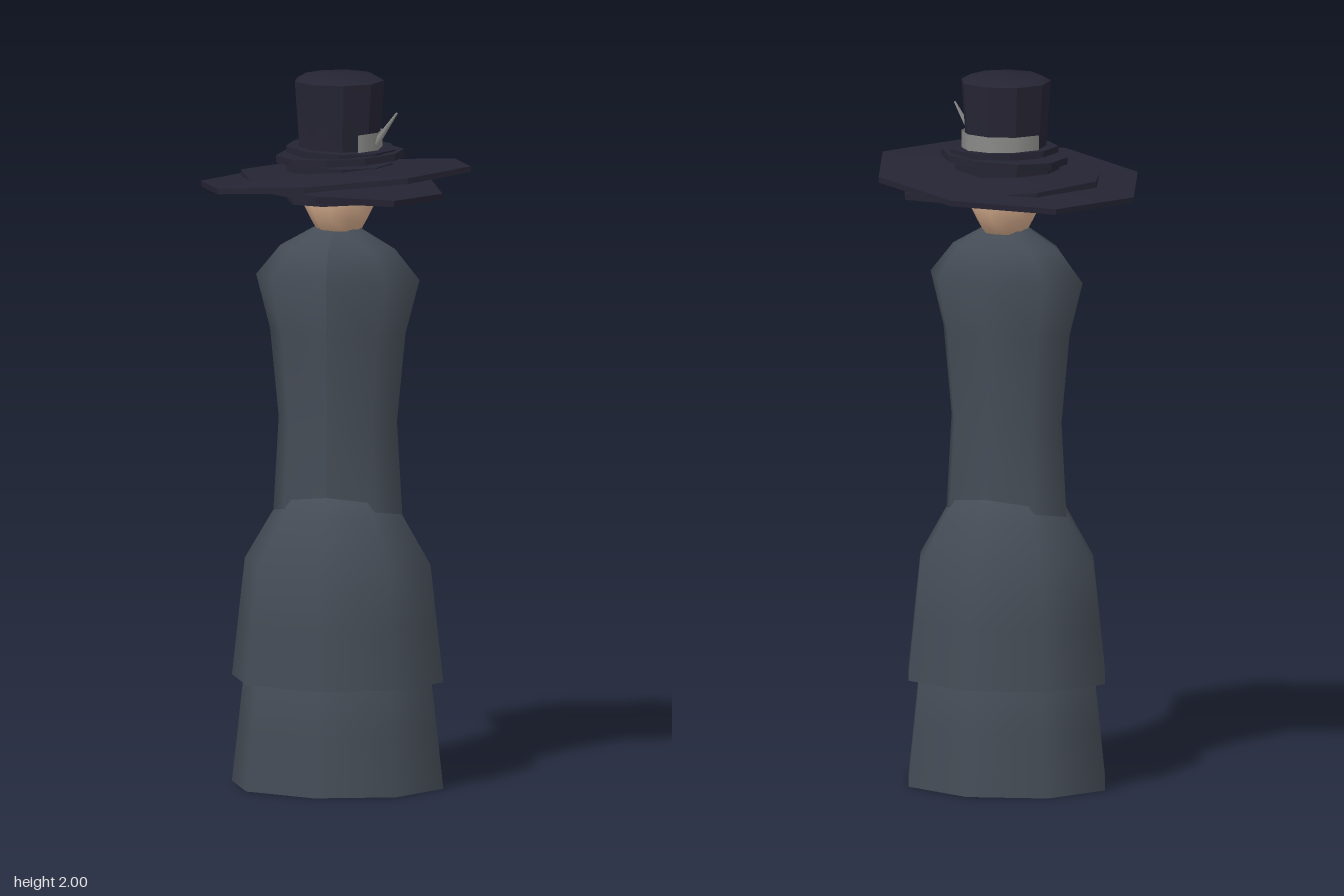
import * as THREE from 'three';
import { toCreasedNormals } from 'three/addons/utils/BufferGeometryUtils.js';

const mat = (name, color) => {
  const m = new THREE.MeshStandardMaterial({ color });
  m.name = name;
  return m;
};

// Low-sided turned shape from [radius, height] pairs, bottom to top, squashed in depth
function turned(name, profile, sides, depth, material, crease = 0) {
  let geo = new THREE.LatheGeometry(profile.map(([r, y]) => new THREE.Vector2(r, y)), sides);
  geo.scale(1, 1, depth);
  if (crease) geo = toCreasedNormals(geo, crease);
  const mesh = new THREE.Mesh(geo, material);
  mesh.name = name;
  return mesh;
}

export function createModel() {
  const cloth = mat('slate cloth', 0x454c56);
  const felt = mat('dark felt', 0x252433);
  const skin = mat('skin', 0xdab090);
  const silver = mat('grey band', 0x8a8a88);
  silver.side = THREE.DoubleSide;

  const model = new THREE.Group();
  model.name = 'figure';

  // Two identical skirt tiers; doubled points keep the hem sharp
  const tier = [[0, 0], [0.304, 0], [0.304, 0], [0.285, 0.17], [0.267, 0.33], [0.19, 0.46], [0.14, 0.535], [0, 0.55]];
  [['lowerSkirt', 0], ['upperSkirt', 0.3]].forEach(([name, y]) => {
    const skirt = turned(name, tier, 8, 0.86, cloth);
    skirt.position.set(0.006, y, 0.005);
    model.add(skirt);
  });

  // Coat body with sloping shoulders
  const torso = turned('torso', [[0, 0.76], [0.186, 0.76], [0.186, 0.76], [0.17, 1.03], [0.195, 1.28],
    [0.235, 1.43], [0.165, 1.515], [0.068, 1.57], [0, 1.572]], 8, 1, cloth);
  // Depth narrows less than width toward the top
  const p = torso.geometry.attributes.position;
  for (let i = 0; i < p.count; i++) {
    const y = p.getY(i);
    const k = y > 1.54 ? 0.8 : y > 1.5 ? 0.66 : y > 1.4 ? 0.57 : y > 1.2 ? 0.665 : 0.7;
    p.setZ(i, p.getZ(i) * k);
  }
  torso.geometry.computeVertexNormals();
  torso.position.set(0.006, 0, 0.003);
  model.add(torso);

  // Tapered head under the hat
  const head = turned('head', [[0, 1.55], [0.06, 1.56], [0.082, 1.6], [0.106, 1.65], [0.1, 1.7], [0, 1.71]], 10, 1, skin);
  head.position.set(0.008, 0, -0.004);
  model.add(head);

  // Hat: stacked tilted discs, crown, band and feather
  const hat = new THREE.Group();
  hat.name = 'hat';
  model.add(hat);
  const disc = (name, r, h, sides, depth, pos, rot, rise = 0) => {
    const d = turned(name, [[0, -h / 2], [r, -h / 2], [r, h / 2], [r * 0.4, h / 2 + rise], [0, h / 2 + rise]], sides, depth, felt, 0.5);
    d.position.set(...pos);
    d.rotation.set(...rot);
    hat.add(d);
  };
  disc('innerBrim', 0.135, 0.022, 8, 0.98, [-0.005, 1.657, 0], [0, 0, 0.03]);
  disc('lowerBrim', 0.29, 0.018, 8, 1, [0.016, 1.69, 0], [0, 0, -0.08]);
  disc('wideBrim', 0.389, 0.016, 8, 0.952, [0, 1.713, 0], [-0.04, 0, 0.09], 0.016);
  disc('lowerCrownRing', 0.15, 0.03, 9, 1, [0.01, 1.745, 0.005], [0.03, 0.3, -0.04]);
  disc('middleCrownRing', 0.18, 0.02, 10, 0.92, [0.012, 1.772, 0], [0, 0, 0.05]);
  disc('upperCrownRing', 0.155, 0.018, 9, 0.95, [0.015, 1.79, 0], [0.02, 0.2, -0.03]);

  const crown = turned('crown', [[0, 1.74], [0.113, 1.74], [0.116, 1.83], [0.127, 1.985], [0.1, 2], [0, 2]], 9, 0.95, felt, 0.6);
  crown.position.set(0.008, 0, 0);
  crown.rotation.y = 0.35;
  hat.add(crown);

  // Band wraps the left side and the back of the crown
  const band = new THREE.Mesh(
    new THREE.CylinderGeometry(0.123, 0.123, 0.052, 6, 1, true, 0.7, 3.75), silver);
  band.name = 'hatBand';
  band.position.set(0.008, 1.819, 0);
  hat.add(band);

  // Slim feather leaning outward from the band
  const from = new THREE.Vector3(0.115, 1.805, 0.026);
  const to = new THREE.Vector3(0.187, 1.905, 0.046);
  const dir = to.clone().sub(from);
  const feather = new THREE.Mesh(new THREE.CylinderGeometry(0.003, 0.011, dir.length(), 4), silver);
  feather.name = 'feather';
  feather.position.copy(from).add(to).multiplyScalar(0.5);
  feather.quaternion.setFromUnitVectors(new THREE.Vector3(0, 1, 0), dir.normalize());
  hat.add(feather);

  return model;
}
